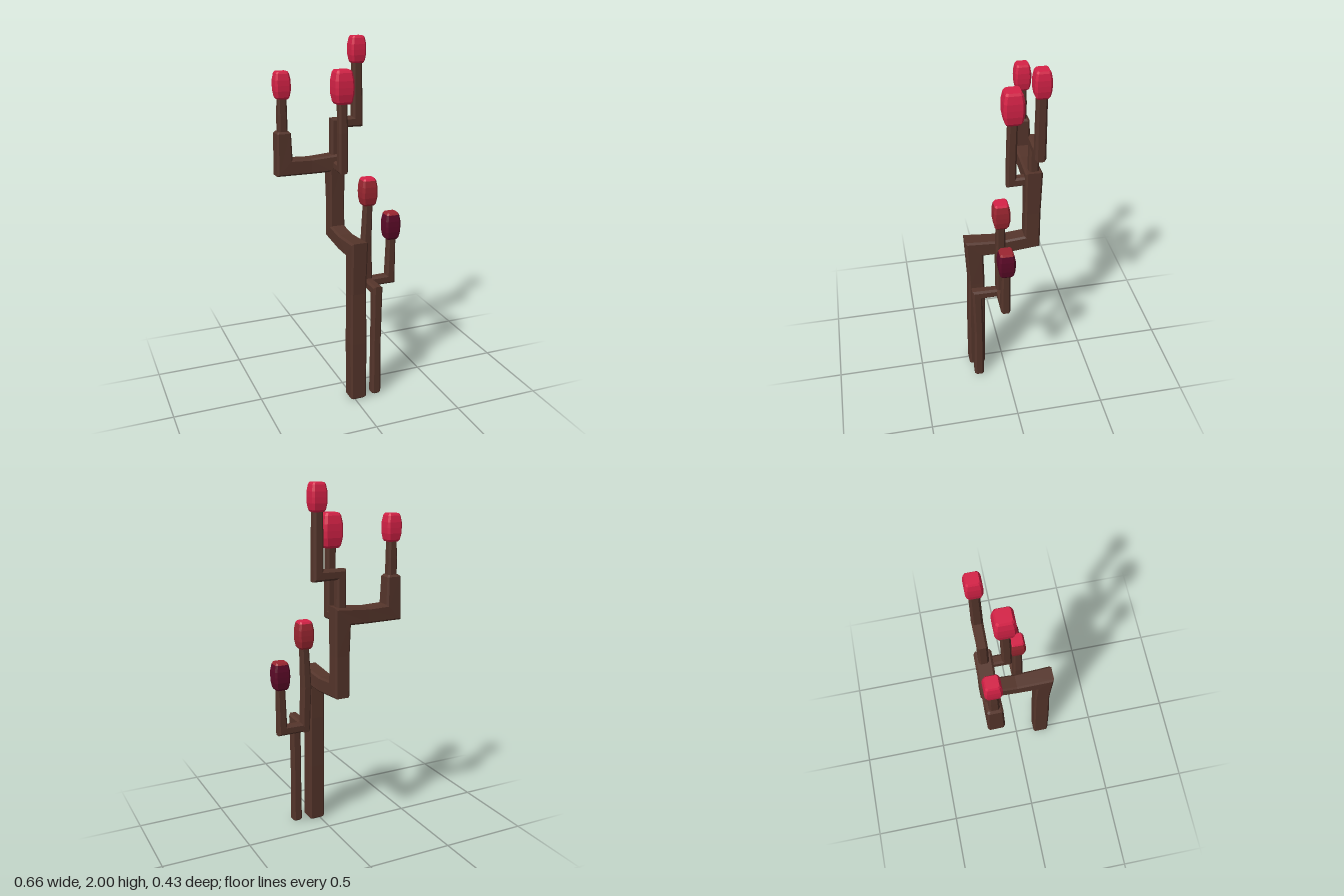
import * as THREE from 'three';

const flat = (color) => new THREE.MeshStandardMaterial({ color, flatShading: true });

// Chamfered square outline, counter-clockwise, half width 1
function outline(c) {
  const k = 1 - c;
  return [[1, -k], [1, k], [k, 1], [-k, 1], [-1, k], [-1, -k], [-k, -1], [k, -1]];
}

// Skin a list of rings; the last `topRings` bands and the end cap go to material group 1
function skin(rings, topRings = 0) {
  const pos = [];
  const tri = (...v) => v.forEach((p) => pos.push(p.x, p.y, p.z));
  const centre = (r) => r.reduce((s, p) => s.add(p), new THREE.Vector3()).divideScalar(r.length);
  const n = rings[0].length, last = rings.length - 1;
  const c0 = centre(rings[0]), c1 = centre(rings[last]);
  for (let j = 0; j < n; j++) tri(c0, rings[0][(j + 1) % n], rings[0][j]);
  let split = 0;
  for (let i = 0; i < last; i++) {
    if (i === last - topRings) split = pos.length / 3;
    for (let j = 0; j < n; j++) {
      const k = (j + 1) % n, a = rings[i], b = rings[i + 1];
      tri(a[j], a[k], b[k]);
      tri(a[j], b[k], b[j]);
    }
  }
  for (let j = 0; j < n; j++) tri(c1, rings[last][j], rings[last][(j + 1) % n]);
  const geo = new THREE.BufferGeometry();
  geo.setAttribute('position', new THREE.Float32BufferAttribute(pos, 3));
  geo.computeVertexNormals();
  if (topRings) {
    geo.addGroup(0, split, 0);
    geo.addGroup(split, pos.length / 3 - split, 1);
  }
  return geo;
}

// Square limb swept along [x, y, z, halfWidth] points with mitred bends and bevelled ends
function limb(points, chamfer) {
  const bevel = 0.01;
  const p = points.map((a) => new THREE.Vector3(a[0], a[1], a[2]));
  const dir = p.slice(1).map((q, i) => q.clone().sub(p[i]).normalize());
  const d0 = dir[0];
  const side = Math.abs(d0.x) > 0.7 ? new THREE.Vector3(0, 1, 0) : new THREE.Vector3(1, 0, 0);
  const u = side.addScaledVector(d0, -side.dot(d0)).normalize();
  const v = new THREE.Vector3().crossVectors(d0, u);
  let ring = outline(chamfer).map(([a, b]) => u.clone().multiplyScalar(a).addScaledVector(v, b));
  const place = (c, r) => ring.map((o) => c.clone().addScaledVector(o, r));
  const rings = [];
  p.forEach((q, i) => {
    const r = points[i][3];
    if (i === 0) {
      rings.push(place(q, r - bevel), place(q.clone().addScaledVector(d0, bevel), r));
      return;
    }
    const d = dir[i - 1], end = i === p.length - 1;
    const normal = end ? d : d.clone().add(dir[i]).normalize();
    ring = ring.map((o) => o.clone().addScaledVector(d, -o.dot(normal) / d.dot(normal)));
    if (end) rings.push(place(q.clone().addScaledVector(d, -bevel), r), place(q, r - bevel));
    else rings.push(place(q, r));
  });
  return skin(rings);
}

// Barrel-shaped bud standing on y = 0
function bud(half, height) {
  const profile = [[0, 0.7], [0.07, 0.84], [0.3, 0.98], [0.5, 1], [0.7, 0.98], [0.93, 0.84], [1, 0.7]];
  return skin(profile.map(([t, s]) =>
    outline(0.25).map(([a, b]) => new THREE.Vector3(b * half * s, t * height, a * half * s))), 1);
}

export function createModel() {
  const group = new THREE.Group();
  const bark = flat(0x55352b);
  const brightRed = flat(0xd62247);
  const dullRed = flat(0x9c2631);
  const darkRed = flat(0x5c0a28);
  bark.name = 'bark';
  brightRed.name = 'brightRed';
  dullRed.name = 'dullRed';
  darkRed.name = 'darkRed';

  const add = (name, geo, material) => {
    const mesh = new THREE.Mesh(geo, material);
    mesh.name = name;
    group.add(mesh);
    return mesh;
  };

  // Thick trunk: up, back, up again, then out to the right arm
  add('trunk', limb([
    [0.02, 0, 0.162, 0.047], [0.02, 0.35, 0.158, 0.048], [0.02, 0.65, 0.153, 0.045],
    [0.02, 0.9, 0.163, 0.048], [0.02, 0.89, 0, 0.044], [0.02, 0.907, -0.165, 0.044],
    [0.02, 1.1, -0.165, 0.043], [0.02, 1.315, -0.166, 0.047], [-0.13, 1.307, -0.168, 0.043],
    [-0.284, 1.31, -0.168, 0.045], [-0.284, 1.51, -0.168, 0.04],
  ], 0.22), bark);

  // Thin stems and side shoots
  const stems = {
    rightArmStem: [[-0.284, 1.46, -0.168, 0.027], [-0.284, 1.6, -0.168, 0.026], [-0.282, 1.72, -0.168, 0.023]],
    tallStem: [[0.02, 1.3, -0.168, 0.027], [0.02, 1.534, -0.168, 0.027], [0.152, 1.534, -0.168, 0.029],
      [0.15, 1.88, -0.168, 0.026]],
    middleStem: [[0.02, 1.303, -0.165, 0.026], [0.02, 1.301, -0.048, 0.026], [0.02, 1.5, -0.05, 0.026],
      [0.02, 1.69, -0.055, 0.025]],
    smallTrunk: [[0.137, 0, 0.165, 0.028], [0.138, 0.35, 0.162, 0.026], [0.138, 0.646, 0.167, 0.028],
      [0.138, 0.644, 0.032, 0.026], [0.129, 0.88, 0.032, 0.027], [0.138, 1.13, 0.032, 0.023]],
    smallShoot: [[0.138, 0.645, 0.032, 0.026], [0.278, 0.646, 0.032, 0.027], [0.283, 0.92, 0.032, 0.023]],
  };
  for (const [name, path] of Object.entries(stems)) add(name, limb(path, 0.4), bark);

  // Buds: position, half width, height, side colour, top colour
  [
    ['rightArmBud', [-0.282, 1.685, -0.168], 0.043, 0.145, brightRed, brightRed],
    ['tallBud', [0.15, 1.856, -0.168], 0.043, 0.144, brightRed, brightRed],
    ['middleBud', [0.021, 1.657, -0.055], 0.055, 0.18, brightRed, brightRed],
    ['smallTrunkBud', [0.138, 1.104, 0.029], 0.045, 0.153, dullRed, brightRed],
    ['smallShootBud', [0.282, 0.889, 0.029], 0.045, 0.155, darkRed, dullRed],
  ].forEach(([name, at, half, height, sides, top]) => {
    add(name, bud(half, height), [sides, top]).position.set(...at);
  });

  return group;
}
